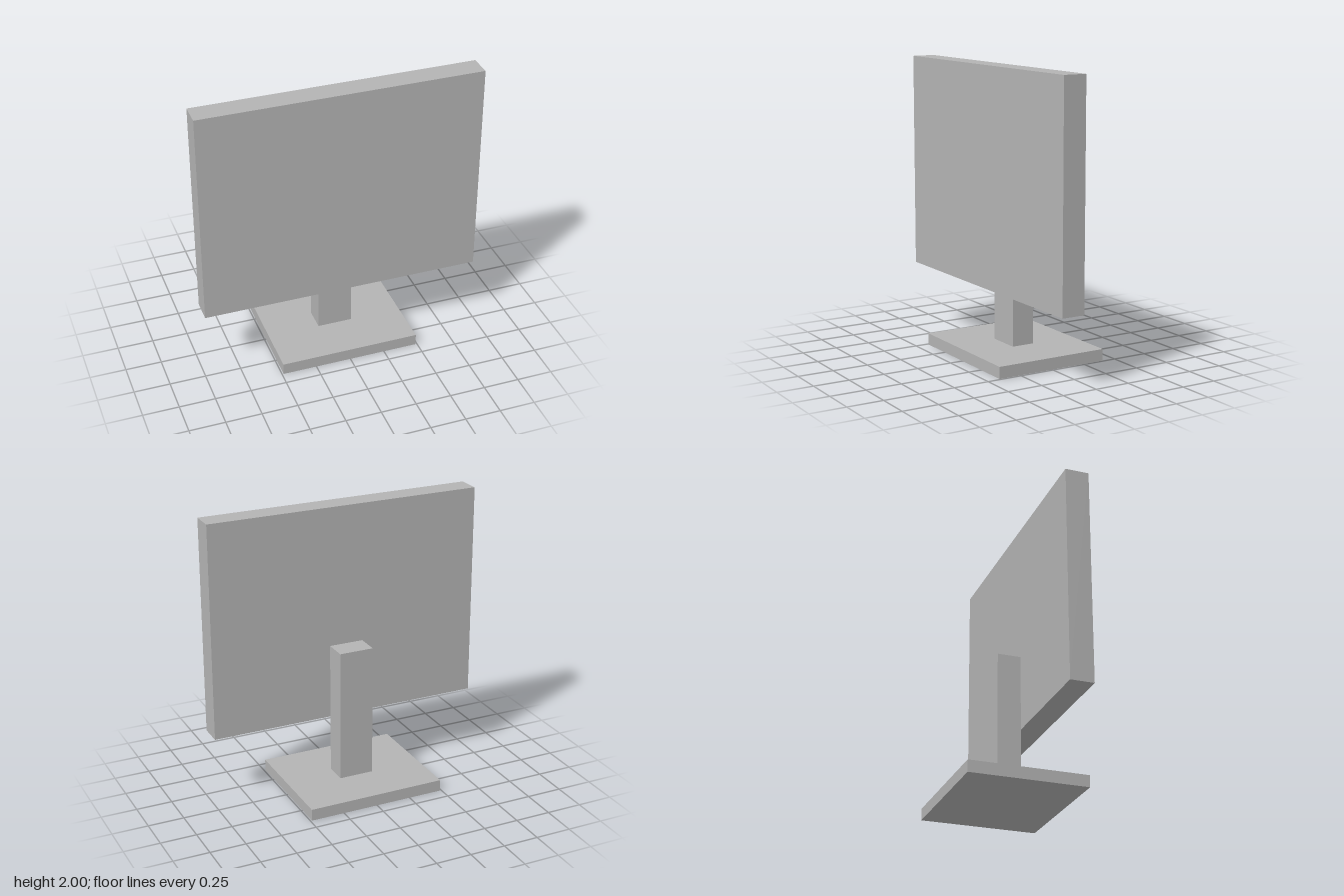
import * as THREE from 'three';

export function createModel() {
  const model = new THREE.Group();
  model.name = 'monitor';

  const grey = new THREE.MeshStandardMaterial({ color: 0xb3b3b3 });
  grey.name = 'grey';

  // Box of the given size, standing on height y, centred on x = 0
  const addBox = (name, width, height, depth, y, z) => {
    const mesh = new THREE.Mesh(new THREE.BoxGeometry(width, height, depth), grey);
    mesh.name = name;
    mesh.position.set(0, y + height / 2, z);
    model.add(mesh);
  };

  addBox('base', 0.978, 0.0815, 0.815, 0, 0);
  addBox('stand', 0.244, 0.937, 0.163, 0.0815, 0);
  // The panel rests against the front of the stand
  addBox('screen', 1.955, 1.511, 0.163, 0.489, 0.163);

  return model;
}
